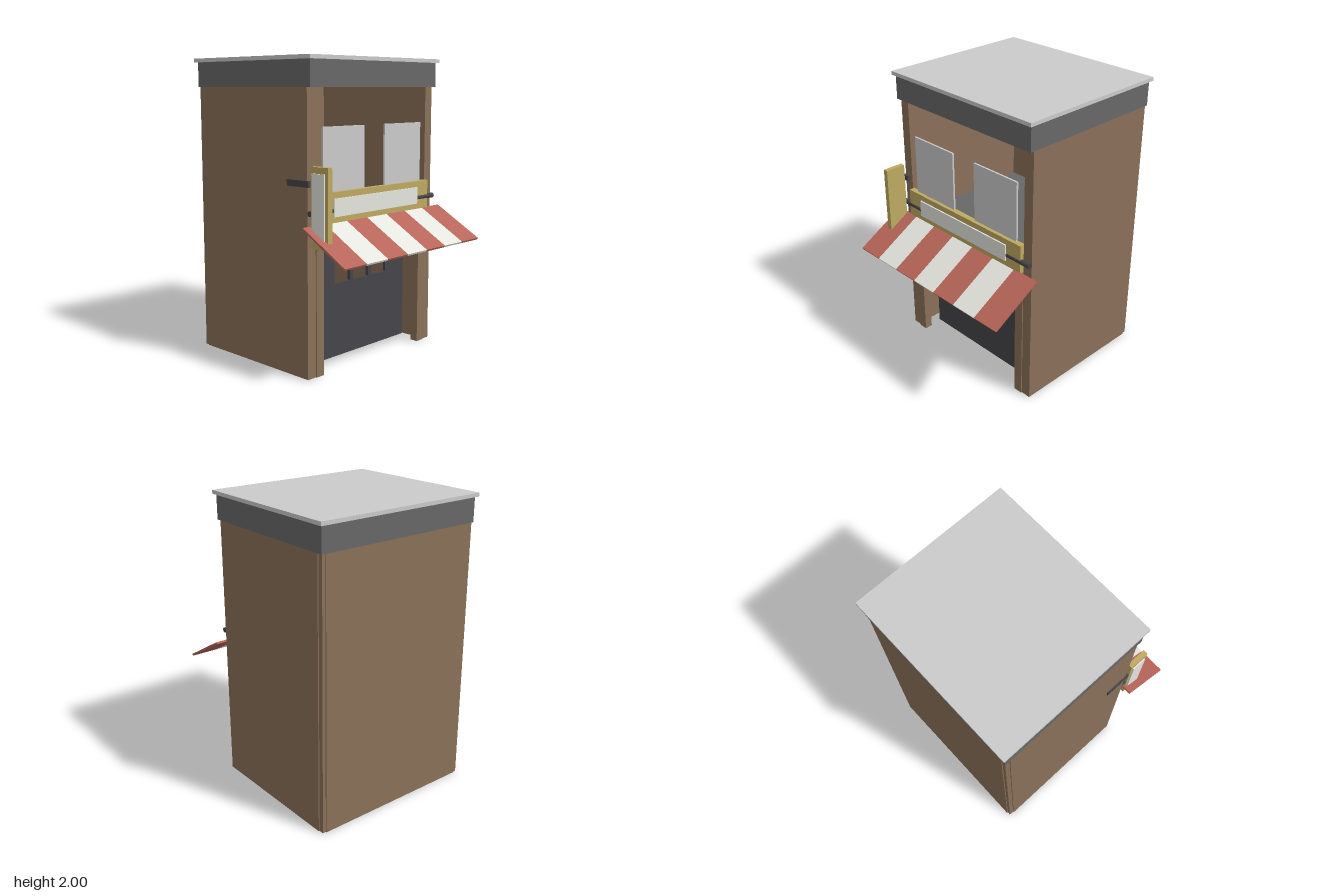
import * as THREE from 'three';

const mat = (color) => new THREE.MeshStandardMaterial({ color, flatShading: true });

export function createModel() {
  const model = new THREE.Group();
  const brown = mat(0x8a715a), dark = mat(0x46464a), slate = mat(0x686868);
  const pale = mat(0xcccccc), yellow = mat(0xbfaa62), white = mat(0xe6e6e0), red = mat(0xb8665a);

  const add = (name, geometry, material) => {
    const mesh = new THREE.Mesh(geometry, material);
    mesh.name = name;
    model.add(mesh);
    return mesh;
  };
  // Box given by its limits on each axis
  const box = (name, material, [x0, x1], [y0, y1], [z0, z1]) => {
    const mesh = add(name, new THREE.BoxGeometry(x1 - x0, y1 - y0, z1 - z0), material);
    mesh.position.set((x0 + x1) / 2, (y0 + y1) / 2, (z0 + z1) / 2);
    return mesh;
  };
  // Same box on both sides of the model
  const pair = (name, material, [x0, x1], y, z) => {
    box(name + 'Left', material, [x0, x1], y, z);
    box(name + 'Right', material, [-x1, -x0], y, z);
  };

  // Hollow shell, open at the front and underneath
  pair('sideWall', brown, [0.56, 0.61], [0, 1.81], [-0.66, 0.34]);
  pair('rearCornerPost', brown, [0.575, 0.603], [0, 1.81], [-0.693, -0.66]);
  box('backWall', brown, [-0.58, 0.58], [0, 1.81], [-0.7, -0.66]);
  pair('frontPost', brown, [0.54, 0.61], [0, 1.81], [0.29, 0.35]);
  pair('lowerPost', brown, [0.475, 0.54], [0, 0.95], [0.3, 0.357]);
  box('frontBeam', brown, [-0.54, 0.54], [0.815, 0.945], [0.3, 0.37]);
  box('awningRail', slate, [-0.54, 0.54], [0.84, 0.955], [0.37, 0.4]);
  box('upperFloor', slate, [-0.56, 0.56], [0.9, 0.945], [-0.66, 0.34]);

  // Roof
  box('roofFascia', slate, [-0.613, 0.613], [1.81, 1.975], [-0.7, 0.38]);
  box('roofSlab', pale, [-0.63, 0.63], [1.975, 2], [-0.72, 0.4]);

  // Recessed door with three square openings
  const doorShape = new THREE.Shape();
  doorShape.moveTo(-0.45, 0.04).lineTo(0.45, 0.04).lineTo(0.45, 0.9).lineTo(-0.45, 0.9).closePath();
  for (const x of [-0.185, -0.003, 0.18]) {
    const hole = new THREE.Path();
    hole.moveTo(x - 0.075, 0.535).lineTo(x - 0.075, 0.73).lineTo(x + 0.075, 0.73).lineTo(x + 0.075, 0.535).closePath();
    doorShape.holes.push(hole);
  }
  const door = add('door', new THREE.ExtrudeGeometry(doorShape, { depth: 0.02, bevelEnabled: false }), dark);
  door.position.z = 0.22;

  // Upper window panels
  pair('windowPanel', pale, [0.1, 0.48], [0.97, 1.57], [0.343, 0.356]);

  // Front sign with a lamp bar across it
  box('frontSign', yellow, [-0.54, 0.54], [0.97, 1.165], [0.34, 0.38]);
  box('frontSignPanel', white, [-0.415, 0.415], [1.01, 1.125], [0.37, 0.39]);
  const bar = add('lampBar', new THREE.CylinderGeometry(0.018, 0.018, 1.22, 12), dark);
  bar.rotation.z = Math.PI / 2;
  bar.position.set(0, 1.05, 0.368);

  // Projecting side sign and its bracket
  box('sideSign', yellow, [-0.615, -0.58], [0.84, 1.34], [0.385, 0.53]);
  box('sideSignPanel', white, [-0.625, -0.612], [0.895, 1.3], [0.4, 0.505]);
  box('signBracket', dark, [-0.62, -0.575], [1.21, 1.25], [0.18, 0.366]);

  // Sloping striped awning
  const edges = [-0.675, -0.483, -0.29, -0.097, 0.097, 0.29, 0.483, 0.675];
  const awning = new THREE.Group();
  awning.name = 'awning';
  for (let i = 0; i < 7; i++) {
    const width = edges[i + 1] - edges[i];
    const stripe = new THREE.Mesh(new THREE.BoxGeometry(width, 0.014, 0.4), i % 2 ? white : red);
    stripe.name = 'awningStripe' + (i + 1);
    stripe.position.x = edges[i] + width / 2;
    awning.add(stripe);
  }
  awning.position.set(0, 0.87, 0.545);
  awning.rotation.x = Math.atan2(0.2, 0.35);
  model.add(awning);

  return model;
}
